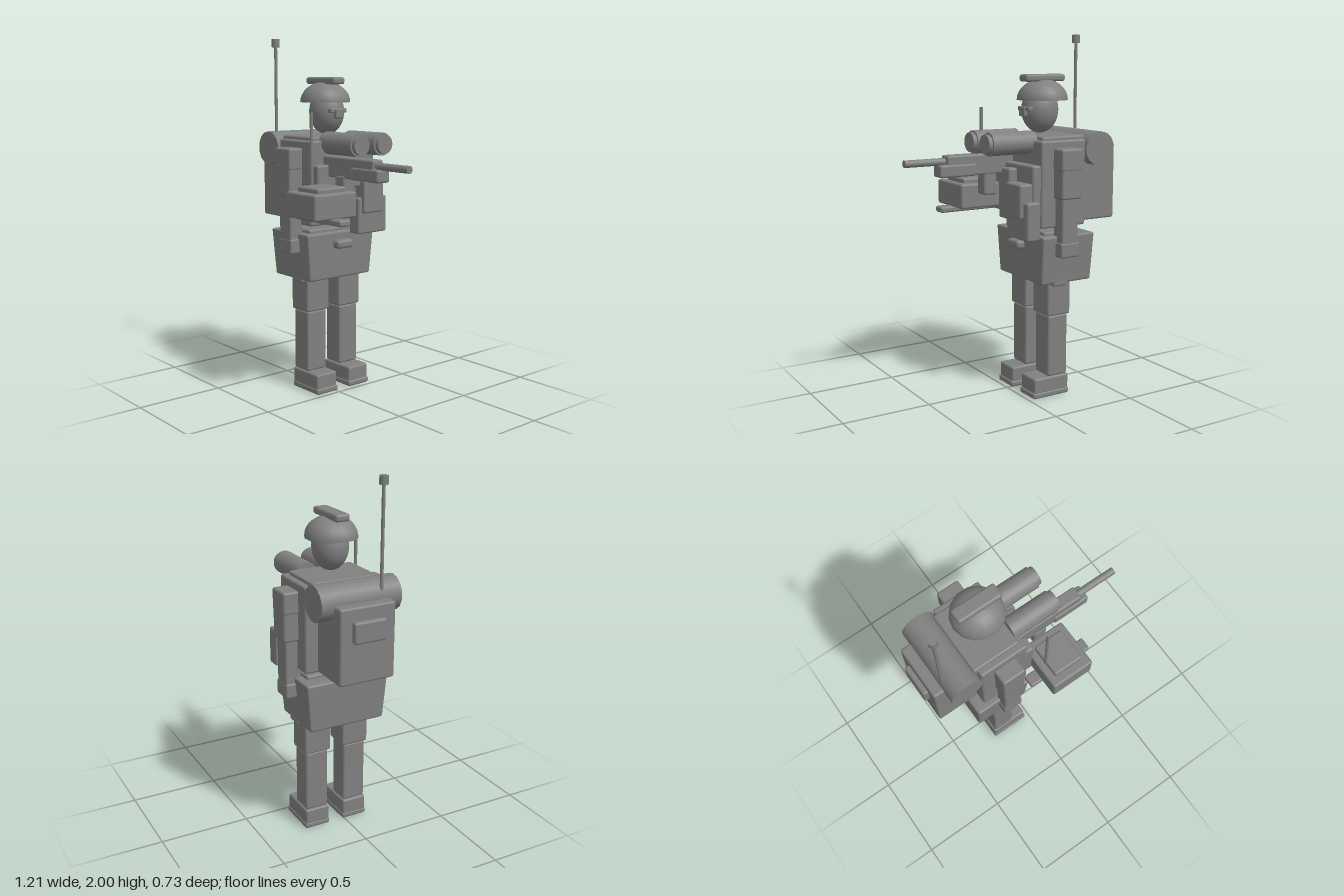
import * as THREE from 'three';
import { RoundedBoxGeometry } from 'three/addons/geometries/RoundedBoxGeometry.js';

export function createModel() {
  const root = new THREE.Group();
  root.name = 'soldier';
  const grey = new THREE.MeshStandardMaterial({ color: 0x808080, side: THREE.DoubleSide });
  grey.name = 'uniform grey';
  const MID = -0.055; // z of the body's plane of symmetry

  function add(name, geometry, x = 0, y = 0, z = 0) {
    const mesh = new THREE.Mesh(geometry, grey);
    mesh.name = name;
    mesh.position.set(x, y, z);
    root.add(mesh);
    return mesh;
  }
  // Softly bevelled box given by its limits on each axis
  function box(name, [x0, x1], [y0, y1], [z0, z1], bevel = 0.012) {
    const w = x1 - x0, h = y1 - y0, d = z1 - z0;
    const r = Math.min(bevel, 0.45 * Math.min(w, h, d));
    return add(name, new RoundedBoxGeometry(w, h, d, 2, r), (x0 + x1) / 2, (y0 + y1) / 2, (z0 + z1) / 2);
  }
  // Cylinder lying along x
  function tubeX(name, x0, x1, y, z, r, sides = 20) {
    return add(name, new THREE.CylinderGeometry(r, r, x1 - x0, sides).rotateZ(Math.PI / 2), (x0 + x1) / 2, y, z);
  }
  // Upright cylinder
  function rod(name, x, z, y0, y1, r, sides = 12) {
    return add(name, new THREE.CylinderGeometry(r, r, y1 - y0, sides), x, (y0 + y1) / 2, z);
  }

  // Legs and arms, mirrored about the body plane
  for (const s of [1, -1]) {
    const side = s > 0 ? 'right' : 'left';
    const span = (a, b) => (s > 0 ? [MID + a, MID + b] : [MID - b, MID - a]);
    box(side + 'Sole', [-0.26, -0.025], [0, 0.035], span(0.042, 0.192));
    box(side + 'Boot', [-0.258, -0.033], [0.025, 0.115], span(0.046, 0.188));
    box(side + 'Shin', [-0.25, -0.123], [0.115, 0.465], span(0.05, 0.184));
    box(side + 'Thigh', [-0.262, -0.113], [0.465, 0.75], span(0.037, 0.193));
    box(side + 'HipPad', [-0.225, -0.13], [0.638, 0.7], span(0.15, 0.222));
    box(side + 'Shoulder', [-0.255, -0.12], [1.28, 1.4], span(0.215, 0.309));
    box(side + 'UpperArm', [-0.252, -0.123], [1.13, 1.3], span(0.213, 0.307));
    box(side + 'Forearm', [-0.24, -0.135], [0.88, 1.14], span(0.205, 0.293));
    box(side + 'Hand', [-0.246, -0.129], [0.81, 0.895], span(0.2, 0.295));
    // Paired chest tubes
    const z = MID + s * 0.083;
    tubeX(side + 'ChestTube', -0.07, 0.2, 1.425, z, 0.063);
    tubeX(side + 'ChestTubeLens', 0.19, 0.222, 1.425, z, 0.053);
  }

  // Hips narrow slightly toward the bottom
  const hips = box('hips', [-0.385, -0.045], [0.655, 0.925], [-0.298, 0.188]);
  const p = hips.geometry.attributes.position;
  for (let i = 0; i < p.count; i++) {
    const t = 0.5 - p.getY(i) / 0.27;
    p.setX(i, p.getX(i) * (1 - 0.045 * t));
    p.setZ(i, p.getZ(i) * (1 - 0.095 * t));
  }
  hips.geometry.computeVertexNormals();
  box('waist', [-0.3, -0.08], [0.9, 0.945], [-0.255, 0.145]);
  box('beltBuckle', [-0.06, 0], [0.83, 0.88], [-0.11, 0.005], 0.018);

  // Torso and chest gear
  box('torso', [-0.33, -0.045], [0.97, 1.44], [-0.28, 0.165]);
  box('collar', [-0.35, -0.072], [1.4, 1.46], [-0.245, 0.128]);
  box('chestPlate', [-0.06, 0.005], [1.03, 1.31], [-0.27, 0.155]);
  box('chestPocket', [-0.02, 0.055], [1.18, 1.285], [-0.11, -0.03]);
  box('chestPouch', [-0.04, 0.08], [1.03, 1.215], [-0.262, -0.115]);
  box('sidePouch', [-0.025, 0.058], [0.912, 1.12], [-0.303, -0.093]);

  // Head and helmet
  add('head', new THREE.SphereGeometry(1, 24, 16), -0.178, 1.592, MID).scale.set(0.105, 0.127, 0.096);
  box('eyeBand', [-0.1, -0.068], [1.588, 1.612], [-0.112, 0.002], 0.006);
  box('nose', [-0.1, -0.058], [1.558, 1.612], [-0.083, -0.027], 0.008);
  const dome = new THREE.SphereGeometry(1, 14, 8, 0, Math.PI * 2, 0, Math.PI / 2);
  add('helmet', dome, -0.193, 1.645, MID - 0.002).scale.set(0.143, 0.115, 0.141);
  box('helmetRail', [-0.32, -0.065], [1.745, 1.785], [-0.098, -0.016], 0.014);

  // Backpack, bedroll and radio aerial
  box('backpack', [-0.578, -0.338], [0.978, 1.385], [-0.215, 0.102]);
  box('backpackPocket', [-0.608, -0.57], [1.2, 1.315], [-0.148, 0.037]);
  const roll = new THREE.CylinderGeometry(0.095, 0.095, 0.458, 14).rotateX(Math.PI / 2);
  add('bedroll', roll, -0.425, 1.383, MID);
  rod('radioAerial', -0.5, 0.062, 1.38, 1.97, 0.009);
  rod('radioAerialTip', -0.5, 0.062, 1.955, 2, 0.023);

  // Rifle
  box('rifleBody', [-0.05, 0.365], [1.245, 1.36], [0.005, 0.08]);
  box('rifleHandguard', [0.19, 0.41], [1.243, 1.312], [0, 0.088]);
  tubeX('rifleBarrel', 0.34, 0.602, 1.327, 0.045, 0.02);
  box('rifleGrip', [0.06, 0.14], [1.13, 1.26], [0.008, 0.085]);

  // Carried control box with its own aerial
  box('controlBox', [-0.01, 0.243], [1.05, 1.188], [0.08, 0.364]);
  box('controlBoxLid', [0.03, 0.208], [1.175, 1.215], [0.122, 0.316]);
  box('controlBoxHandle', [-0.077, 0.315], [1.02, 1.055], [0.183, 0.256]);
  rod('controlBoxAerial', 0.035, 0.222, 1.18, 1.598, 0.009);

  return root;
}
